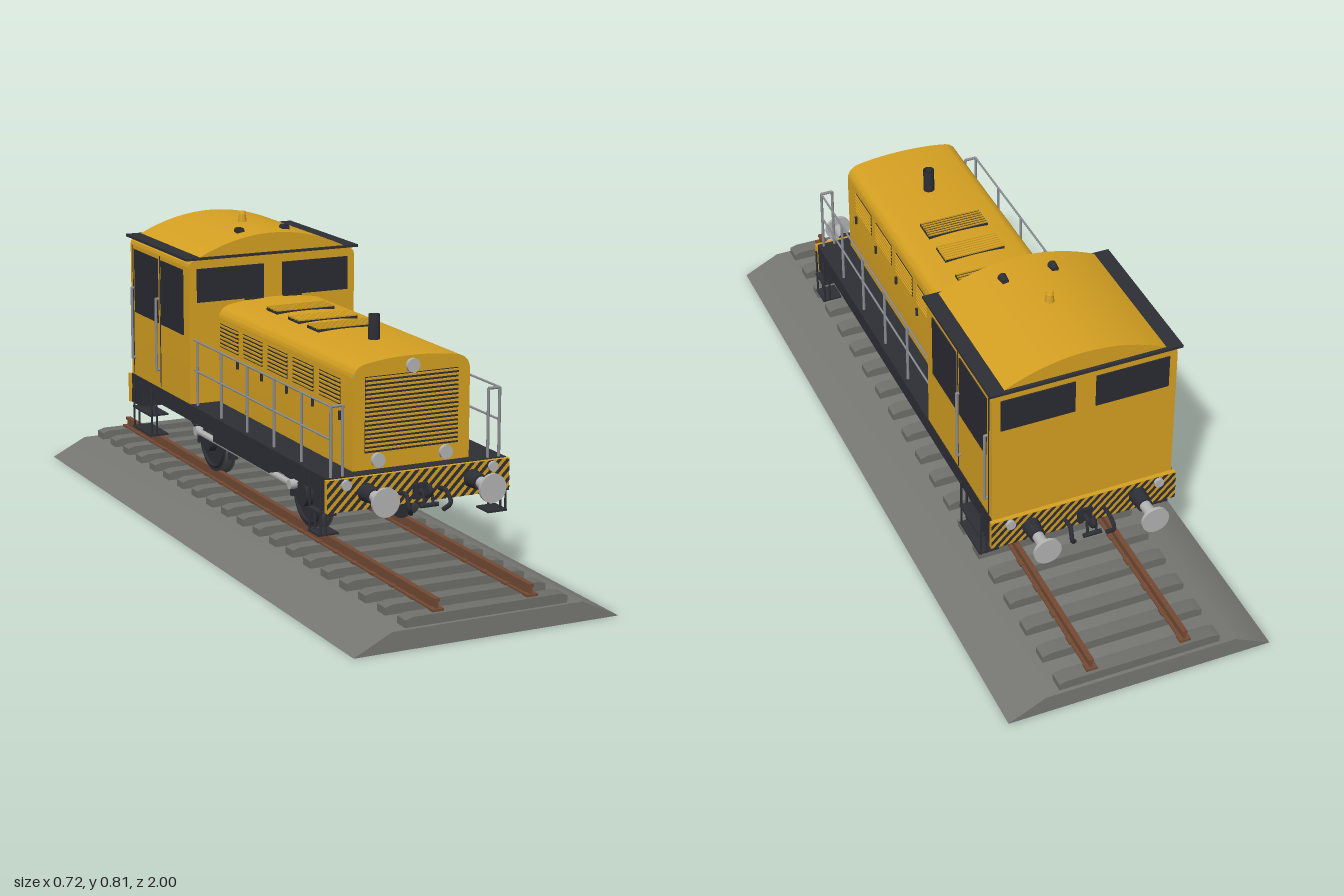
import * as THREE from 'three';
import { toCreasedNormals } from 'three/addons/utils/BufferGeometryUtils.js';

const mat = (name, color) => {
  const m = new THREE.MeshStandardMaterial({ color });
  m.name = name;
  return m;
};

export function createModel() {
  const yellow = mat('yellow paint', 0xd6a122);
  const black = mat('black paint', 0x2e2f36);
  const glass = mat('dark glass', 0x2a2b33);
  const steel = mat('light steel', 0xb4b4b4);
  const railing = mat('railing grey', 0x8b8d92);
  const tyre = mat('tyre grey', 0x5c5d60);
  const gravel = mat('ballast grey', 0x777773);
  const wood = mat('sleeper grey', 0x6f6f6b);
  const rust = mat('rail brown', 0x744a33);

  const root = new THREE.Group();
  root.name = 'shuntingLocomotive';
  const group = (name, parent = root) => {
    const g = new THREE.Group();
    g.name = name;
    parent.add(g);
    return g;
  };
  const add = (parent, name, geo, m, x = 0, y = 0, z = 0) => {
    const mesh = new THREE.Mesh(geo, m);
    mesh.name = name;
    mesh.position.set(x, y, z);
    parent.add(mesh);
    return mesh;
  };
  // Box given by its limits on each axis
  const box = (p, name, m, x0, x1, y0, y1, z0, z1) =>
    add(p, name, new THREE.BoxGeometry(Math.abs(x1 - x0), y1 - y0, Math.abs(z1 - z0)), m,
      (x0 + x1) / 2, (y0 + y1) / 2, (z0 + z1) / 2);
  // Round bar between two points
  const bar = (p, name, m, a, b, r, r2 = r, seg = 8) => {
    const A = new THREE.Vector3(...a), B = new THREE.Vector3(...b);
    const d = B.clone().sub(A);
    const mesh = add(p, name, new THREE.CylinderGeometry(r2, r, d.length(), seg), m);
    mesh.position.copy(A).addScaledVector(d, 0.5);
    mesh.quaternion.setFromUnitVectors(new THREE.Vector3(0, 1, 0), d.normalize());
    return mesh;
  };
  const tube = (p, name, m, pts, r) => add(p, name, new THREE.TubeGeometry(
    new THREE.CatmullRomCurve3(pts.map(q => new THREE.Vector3(...q))), 14, r, 6), m);
  // Cross-section in x and y, drawn out along z
  const extrude = (p, name, m, shape, z0, z1) => {
    const g = new THREE.ExtrudeGeometry(shape, { depth: z1 - z0, bevelEnabled: false, curveSegments: 16 });
    return add(p, name, toCreasedNormals(g, 0.6), m, 0, 0, z0);
  };
  const poly = pts => new THREE.Shape(pts.map(q => new THREE.Vector2(...q)));
  const sides = [-1, 1];

  // Track: ballast bed, sleepers and rails
  const track = group('track');
  extrude(track, 'ballast', gravel, poly([[-0.36, 0], [0.36, 0], [0.26, 0.05], [-0.26, 0.05]]), -1, 1);
  const sleeper = poly([[-0.22, 0.05], [0.22, 0.05], [0.22, 0.069], [0.2, 0.075], [-0.2, 0.075], [-0.22, 0.069]]);
  for (let i = 0; i < 20; i++) {
    const z = -0.969 + i * 0.102;
    extrude(track, 'sleeper', wood, sleeper, z - 0.021, z + 0.021);
    for (const s of sides) box(track, 'railClip', rust, s * 0.113, s * 0.143, 0.075, 0.081, z - 0.012, z + 0.012);
  }
  for (const s of sides) {
    const x = s * 0.128;
    box(track, 'railFoot', rust, x - 0.012, x + 0.012, 0.075, 0.079, -0.975, 0.975);
    box(track, 'railWeb', rust, x - 0.003, x + 0.003, 0.079, 0.097, -0.975, 0.975);
    box(track, 'railHead', rust, x - 0.007, x + 0.007, 0.097, 0.105, -0.975, 0.975);
  }

  // Frame and running boards
  const frame = group('frame');
  box(frame, 'deck', black, -0.25, 0.25, 0.28, 0.325, -0.63, 0.635);
  box(frame, 'innerFrame', black, -0.1, 0.1, 0.18, 0.28, -0.2, 0.2);
  for (const s of sides) {
    box(frame, 'frameEnd', black, -0.25, 0.25, 0.24, 0.28, s * 0.56, s * 0.635);
    box(frame, 'frameRail', black, s * 0.075, s * 0.1, 0.235, 0.28, -0.58, 0.58);
    box(frame, 'sideTank', black, s * 0.1, s * 0.2, 0.225, 0.28, -0.17, 0.19);
  }

  // Wheels, springs, brakes and side rods
  const running = group('runningGear');
  for (const z of [0.31, -0.3]) {
    bar(running, 'axle', black, [-0.15, 0.195, z], [0.15, 0.195, z], 0.015);
    for (const s of sides) {
      const w = new THREE.CylinderGeometry(0.09, 0.09, 0.024, 36);
      add(running, 'wheel', w, [tyre, black, black], s * 0.131, 0.195, z).rotation.z = Math.PI / 2;
      const f = new THREE.CylinderGeometry(0.097, 0.097, 0.006, 36);
      add(running, 'wheelFlange', f, [tyre, black, black], s * 0.116, 0.195, z).rotation.z = Math.PI / 2;
      add(running, 'wheelRim', new THREE.TorusGeometry(0.076, 0.006, 6, 36), black, s * 0.143, 0.195, z).rotation.y = Math.PI / 2;
      bar(running, 'hub', black, [s * 0.14, 0.195, z], [s * 0.165, 0.195, z], 0.033, 0.033, 20);
      bar(running, 'crankPin', steel, [s * 0.15, 0.215, z - 0.03], [s * 0.184, 0.215, z - 0.03], 0.013, 0.013, 14);
      for (let k = 0; k < 4; k++)
        box(running, 'leafSpring', black, s * 0.15, s * 0.175, 0.245 + k * 0.008, 0.252 + k * 0.008, z - 0.04 - k * 0.014, z + 0.04 + k * 0.014);
      for (const e of sides) {
        box(running, 'brakeShoe', black, s * 0.118, s * 0.142, 0.16, 0.225, z + e * 0.1, z + e * 0.112);
        bar(running, 'brakeHanger', black, [s * 0.17, 0.245, z + e * 0.108], [s * 0.13, 0.175, z + e * 0.108], 0.004);
        bar(running, 'hangerPost', black, [s * 0.13, 0.2, z + e * 0.108], [s * 0.13, 0.285, z + e * 0.108], 0.005);
      }
    }
  }
  for (const s of sides)
    bar(running, 'sideRod', steel, [s * 0.175, 0.215, 0.28], [s * 0.175, 0.215, -0.33], 0.009);

  // Front and rear beams with warning stripes, buffers and couplings
  for (const d of sides) {
    const end = group(d > 0 ? 'frontBeam' : 'rearBeam');
    if (d < 0) end.rotation.y = Math.PI;
    box(end, 'beam', yellow, -0.255, 0.255, 0.24, 0.323, 0.633, 0.645);
    const lim = x => Math.max(-0.255, Math.min(0.255, x));
    for (let x = -0.33; x < 0.25; x += 0.026) {
      // Stripe cut off at both ends of the beam
      const b0 = lim(x), b1 = lim(x + 0.013), t0 = lim(x + 0.083), t1 = lim(x + 0.096);
      const at = (e, base) => 0.24 + Math.max(0, Math.min(0.083, e - base));
      const pts = [[b0, at(b0, x)], [b1, at(b1, x + 0.013)], [t1, at(t1, x + 0.013)], [t0, at(t0, x)]];
      if (b1 > -0.25) pts[0][1] = 0.24;
      if (t0 < 0.25) pts[3][1] = 0.323;
      add(end, 'warningStripe', new THREE.ShapeGeometry(poly(pts)), black, 0, 0, 0.6465);
    }
    for (const s of sides) {
      const x = s * 0.148, y = 0.283;
      bar(end, 'bufferSleeve', black, [x, y, 0.64], [x, y, 0.69], 0.024, 0.02, 20);
      bar(end, 'bufferStem', steel, [x, y, 0.69], [x, y, 0.745], 0.015, 0.015, 20);
      bar(end, 'bufferDisc', steel, [x, y, 0.743], [x, y, 0.752], 0.037, 0.037, 32);
      bar(end, 'markerLamp', steel, [s * 0.205, 0.308, 0.643], [s * 0.205, 0.308, 0.655], 0.013, 0.013, 20);
      tube(end, 'brakeHose', black, [[s * 0.055, 0.27, 0.645], [s * 0.055, 0.272, 0.68], [s * 0.058, 0.245, 0.70], [s * 0.045, 0.225, 0.685]], 0.006);
      bar(end, 'couplingLink', black, [s * 0.012, 0.28, 0.685], [s * 0.012, 0.24, 0.695], 0.004);
    }
    box(end, 'hookPlate', black, -0.02, 0.02, 0.25, 0.29, 0.645, 0.652);
    tube(end, 'couplingHook', black, [[0, 0.27, 0.645], [0, 0.268, 0.685], [0, 0.28, 0.703], [0, 0.296, 0.69]], 0.008);
    bar(end, 'couplingScrew', black, [-0.025, 0.245, 0.695], [0.025, 0.245, 0.695], 0.006);
  }

  // Engine hood with grille, louvres, hatches and exhaust
  const hood = group('hood');
  const hs = new THREE.Shape();
  hs.moveTo(-0.163, 0.325);
  hs.lineTo(0.163, 0.325);
  hs.lineTo(0.163, 0.55);
  hs.quadraticCurveTo(0.163, 0.584, 0.13, 0.592);
  hs.quadraticCurveTo(0.07, 0.603, 0, 0.603);
  hs.quadraticCurveTo(-0.07, 0.603, -0.13, 0.592);
  hs.quadraticCurveTo(-0.163, 0.584, -0.163, 0.55);
  extrude(hood, 'hoodBody', yellow, hs, -0.215, 0.6);
  box(hood, 'grilleBack', black, -0.13, 0.13, 0.368, 0.56, 0.599, 0.602);
  for (let i = 0; i < 17; i++) {
    const y = 0.374 + i * 0.0112;
    box(hood, 'grilleSlat', yellow, -0.13, 0.13, y, y + 0.005, 0.6, 0.606);
  }
  for (const [x, y] of [[0, 0.578], [-0.095, 0.348], [0.095, 0.348]])
    bar(hood, 'headlamp', steel, [x, y, 0.598], [x, y, 0.61], 0.018, 0.018, 24);
  for (const s of sides) for (let i = 0; i < 5; i++) {
    const z = 0.474 - i * 0.153;
    box(hood, 'louvrePanel', black, s * 0.161, s * 0.1645, 0.48, 0.545, z - 0.059, z + 0.059);
    for (let k = 0; k < 6; k++) {
      const y = 0.484 + k * 0.0108;
      box(hood, 'louvre', yellow, s * 0.163, s * 0.168, y, y + 0.005, z - 0.059, z + 0.059);
    }
    box(hood, 'doorHandle', black, s * 0.162, s * 0.169, 0.442, 0.465, z + 0.057, z + 0.063);
  }
  for (const z of [-0.035, 0.1, 0.215]) {
    box(hood, 'hatch', black, -0.085, 0.085, 0.595, 0.606, z - 0.034, z + 0.034);
    for (let k = -3; k <= 3; k++) {
      const w = z === 0.1 ? 0.0035 : 0.0012;
      box(hood, 'hatchSlat', yellow, -0.085, 0.085, 0.604, 0.61, z + k * 0.01 - w, z + k * 0.01 + w);
    }
  }
  add(hood, 'exhaust', new THREE.LatheGeometry([[0.015, 0], [0.015, 0.07], [0.011, 0.07], [0.011, 0.04], [0, 0.04]]
    .map(q => new THREE.Vector2(...q)), 20), black, 0, 0.597, 0.395);

  // Cab with curved roof, windows and handrails
  const cab = group('cab');
  const cs = new THREE.Shape();
  cs.moveTo(-0.248, 0.32);
  cs.lineTo(0.248, 0.32);
  cs.lineTo(0.248, 0.7);
  cs.quadraticCurveTo(0.248, 0.718, 0.228, 0.722);
  cs.lineTo(-0.228, 0.722);
  cs.quadraticCurveTo(-0.248, 0.718, -0.248, 0.7);
  extrude(cab, 'cabBody', yellow, cs, -0.63, -0.21);
  box(cab, 'roofTrim', black, -0.258, 0.258, 0.721, 0.728, -0.64, -0.205);
  const rs = new THREE.Shape();
  rs.moveTo(-0.218, 0.727);
  rs.lineTo(0.218, 0.727);
  rs.quadraticCurveTo(0.11, 0.78, 0, 0.78);
  rs.quadraticCurveTo(-0.11, 0.78, -0.218, 0.727);
  extrude(cab, 'roof', yellow, rs, -0.63, -0.21);
  bar(cab, 'whistle', yellow, [0, 0.775, -0.41], [0, 0.803, -0.41], 0.013, 0.009, 16);
  bar(cab, 'whistleCap', yellow, [0, 0.803, -0.41], [0, 0.809, -0.41], 0.011, 0.008, 16);
  for (const s of sides) {
    bar(cab, 'roofHorn', black, [s * 0.068, 0.778, -0.295], [s * 0.068, 0.778, -0.27], 0.009, 0.012, 14);
    box(cab, 'frontWindow', glass, s * 0.028, s * 0.226, 0.605, 0.697, -0.212, -0.206);
    box(cab, 'rearWindow', glass, s * 0.028, s * 0.226, 0.605, 0.697, -0.634, -0.628);
    box(cab, 'wiper', black, s * 0.03, s * 0.085, 0.601, 0.605, -0.21, -0.203);
    box(cab, 'sideWindow', glass, s * 0.246, s * 0.251, 0.51, 0.69, -0.25, -0.405);
    box(cab, 'doorWindow', glass, s * 0.246, s * 0.251, 0.51, 0.69, -0.428, -0.598);
    for (const z of [-0.415, -0.612]) box(cab, 'doorSeam', black, s * 0.247, s * 0.2495, 0.33, 0.7, z - 0.0015, z + 0.0015);
    for (const z of [-0.427, -0.604]) {
      bar(cab, 'handrail', railing, [s * 0.257, 0.375, z], [s * 0.257, 0.58, z], 0.004);
      for (const y of [0.377, 0.578]) bar(cab, 'handrailMount', railing, [s * 0.247, y, z], [s * 0.259, y, z], 0.004);
    }
  }

  // Walkway railings and boarding steps, mirrored
  for (const s of sides) {
    const rails = group('walkwayRailing');
    const x = s * 0.235;
    for (const z of [0.625, 0.46, 0.3, 0.135, -0.03, -0.19])
      bar(rails, 'post', railing, [x, 0.325, z], [x, 0.503, z], 0.004);
    bar(rails, 'cornerPost', railing, [s * 0.203, 0.325, 0.625], [s * 0.203, 0.503, 0.625], 0.004);
    for (const y of [0.42, 0.503]) bar(rails, 'rail', railing, [x, y, 0.625], [x, y, -0.21], 0.003);
    bar(rails, 'frontRail', railing, [x, 0.503, 0.625], [s * 0.203, 0.503, 0.625], 0.004);

    for (const [z0, z1] of [[0.56, 0.62], [-0.59, -0.46]]) {
      const ladder = group('boardingSteps');
      for (const z of [z0, z1]) {
        bar(ladder, 'ladderPost', black, [s * 0.26, 0.178, z], [s * 0.26, 0.315, z], 0.003);
        bar(ladder, 'ladderBrace', black, [s * 0.245, 0.178, z], [s * 0.245, 0.285, z], 0.003);
      }
      for (const y of [0.177, 0.235]) box(ladder, 'step', black, s * 0.21, s * 0.265, y, y + 0.005, z0, z1);
    }
  }
  return root;
}
